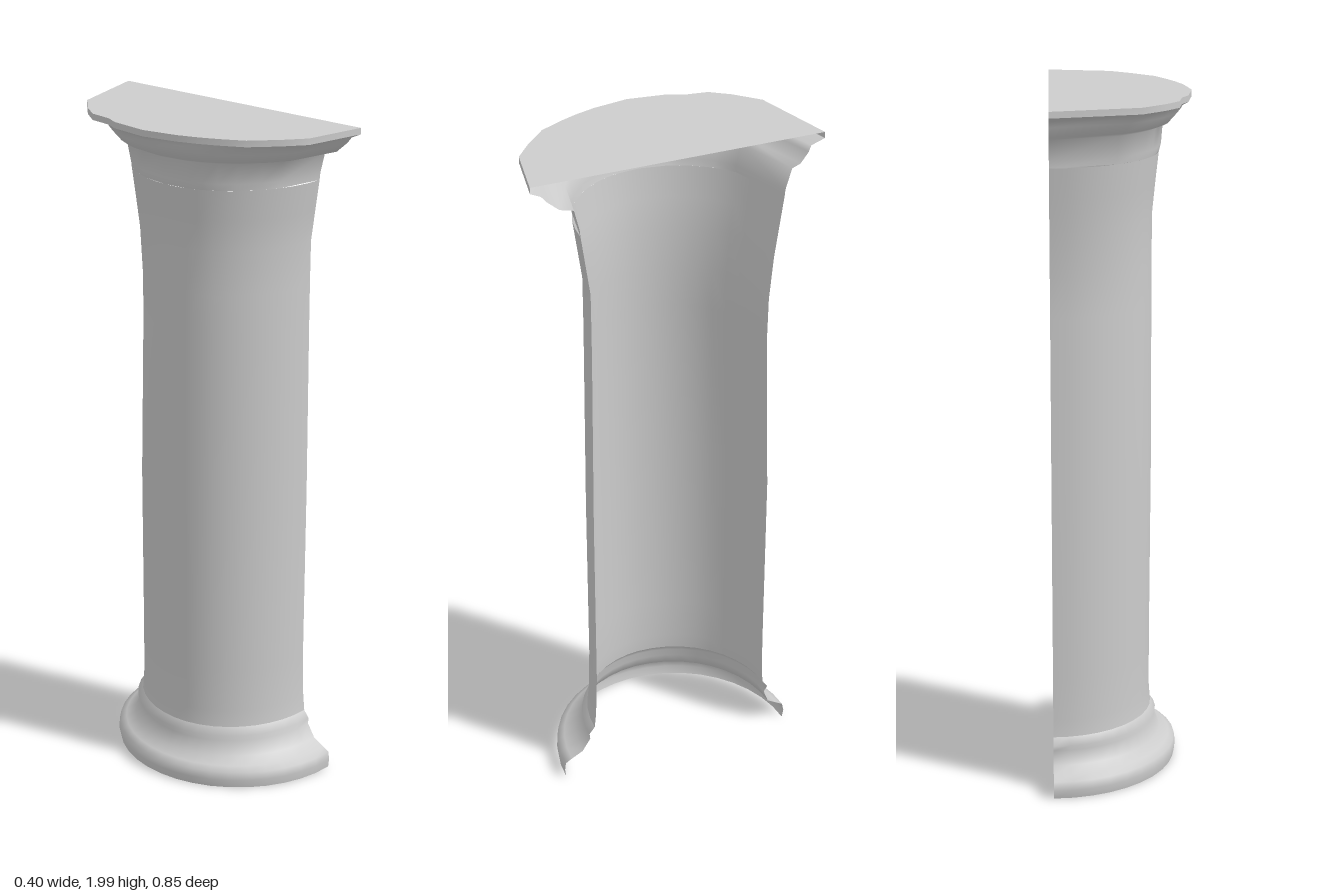
import * as THREE from 'three';

const stone = new THREE.MeshStandardMaterial({ color: 0xcccccc, side: THREE.DoubleSide });
stone.name = 'stone';

const CUT = 0.2; // the column is sliced open along the plane x = CUT

// Rings from the ground up: [height, depth behind the cut, half width to +z, half width to -z]
const base = [
  [0.01, 0.36, 0.36, 0.36], [0.035, 0.365, 0.363, 0.365], [0.06, 0.362, 0.36, 0.36],
  [0.072, 0.345, 0.34, 0.34], [0.09, 0.318, 0.305, 0.31], [0.13, 0.3, 0.28, 0.295],
  [0.148, 0.305, 0.282, 0.306], [0.17, 0.29, 0.265, 0.29],
];
const shaft = [
  [0.17, 0.29, 0.265, 0.29], [0.22, 0.286, 0.26, 0.286], [0.35, 0.286, 0.256, 0.285], [0.9, 0.29, 0.258, 0.285],
  [1.4, 0.29, 0.256, 0.27], [1.52, 0.29, 0.256, 0.272], [1.65, 0.291, 0.257, 0.284],
  [1.74, 0.3, 0.27, 0.297], [1.83, 0.31, 0.283, 0.31],
];
const capital = [
  [1.83, 0.31, 0.283, 0.31], [1.85, 0.315, 0.285, 0.312], [1.91, 0.32, 0.3, 0.33], [1.92, 0.345, 0.34, 0.355],
  [1.95, 0.372, 0.375, 0.378], [1.968, 0.38, 0.39, 0.385],
];

// Worn outline of the top slab, as [x, z] from +z round to -z
const rim = [
  [0.2, 0.42], [0.02, 0.383], [-0.04, 0.335], [-0.107, 0.27], [-0.14, 0.205], [-0.163, 0.15],
  [-0.182, 0.09], [-0.2, -0.015], [-0.185, -0.13], [-0.165, -0.17], [-0.155, -0.24],
  [-0.115, -0.295], [-0.05, -0.358], [0.2, -0.425],
];

// Half ellipse sharing the bearings of the given angles
function halfRing([y, depth, front, back], angles) {
  return angles.map((a) => {
    const c = Math.cos(a);
    return [CUT - depth * Math.sin(a), y, c * (c > 0 ? front : back)];
  });
}

// Open skin stretched over rings of equal length
function skin(name, rings) {
  const n = rings[0].length;
  const index = [];
  for (let i = 0; i < rings.length - 1; i++) {
    for (let j = 0; j < n - 1; j++) {
      const a = i * n + j, b = a + n;
      index.push(a, b, a + 1, a + 1, b, b + 1);
    }
  }
  const geo = new THREE.BufferGeometry();
  geo.setAttribute('position', new THREE.Float32BufferAttribute(rings.flat(2), 3));
  geo.setIndex(index);
  geo.computeVertexNormals();
  const mesh = new THREE.Mesh(geo, stone);
  mesh.name = name;
  return mesh;
}

export function createModel() {
  const group = new THREE.Group();
  group.name = 'halfColumn';

  // Moulded foot and hollow shaft
  const even = Array.from({ length: 21 }, (_, i) => (i / 20) * Math.PI);
  group.add(skin('base', base.map((r) => halfRing(r, even))));
  group.add(skin('shaft', shaft.map((r) => halfRing(r, even))));

  // Flared capital, following the bearings of the worn rim
  const bearings = rim.map(([x, z]) => Math.atan2(CUT - x, z * 0.95));
  const slabRings = [1.982, 2].map((y) => rim.map(([x, z]) => [x, y, z]));
  group.add(skin('capital', [...capital.map((r) => halfRing(r, bearings)), slabRings[0]]));
  group.add(skin('slabEdge', slabRings));

  // Flat top of the slab
  const outline = new THREE.Shape(rim.map(([x, z]) => new THREE.Vector2(x, -z)));
  const top = new THREE.Mesh(new THREE.ShapeGeometry(outline).rotateX(-Math.PI / 2), stone);
  top.position.y = 2;
  top.name = 'slabTop';
  group.add(top);

  return group;
}
